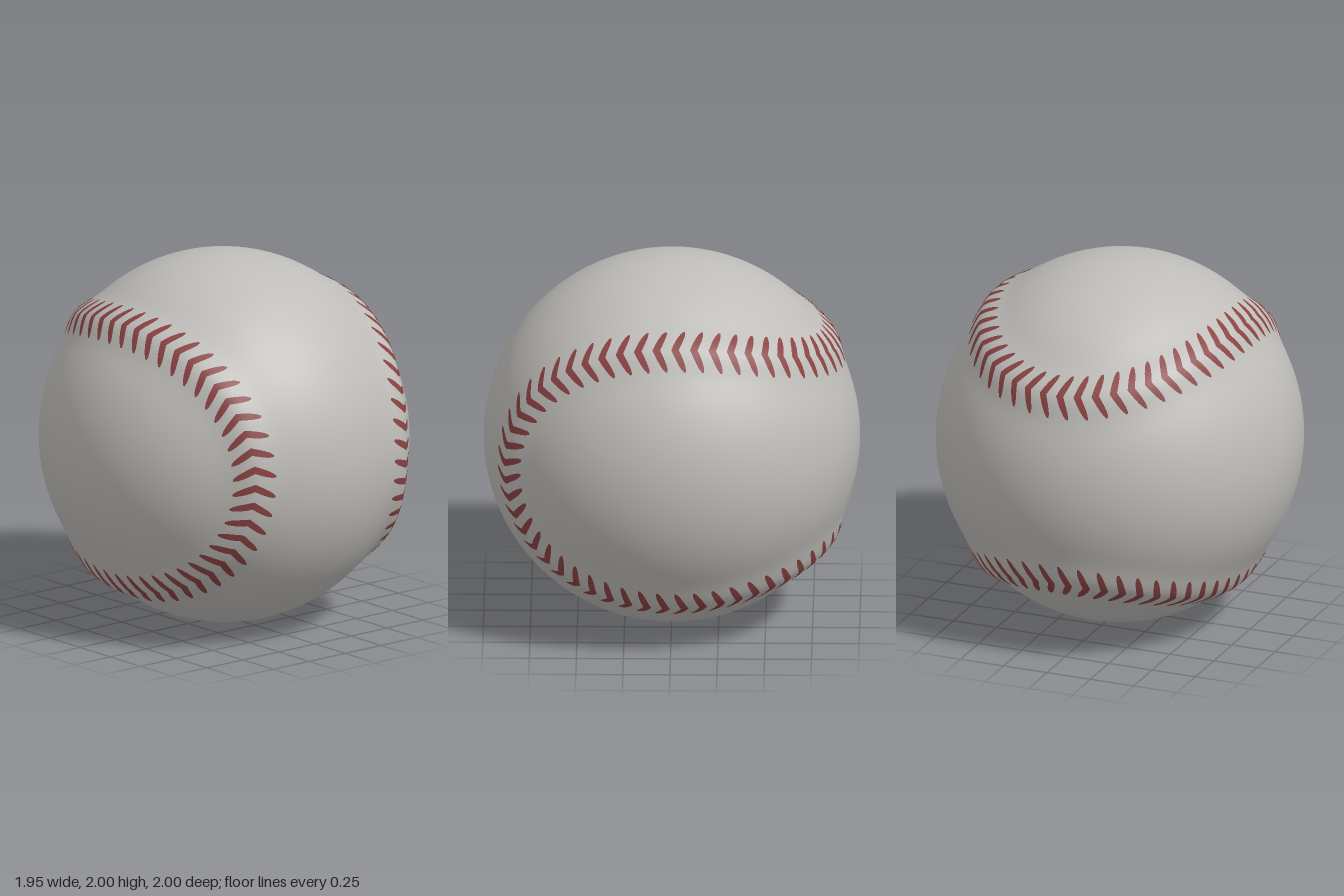
import * as THREE from 'three';
import { mergeVertices } from 'three/addons/utils/BufferGeometryUtils.js';

// Closed seam curve lying on the unit sphere
const A = 0.76, B = -0.24, C = 2 * Math.sqrt(-A * B);
class SeamCurve extends THREE.Curve {
  getPoint(u, target = new THREE.Vector3()) {
    const t = -u * Math.PI * 2;
    return target.set(
      A * Math.cos(t) + B * Math.cos(3 * t),
      A * Math.sin(t) - B * Math.sin(3 * t),
      C * Math.cos(2 * t));
  }
}

const seam = new SeamCurve();
seam.arcLengthDivisions = 800;
const seamSamples = seam.getSpacedPoints(500);

// Places a unit direction on the ball: slightly narrow in x, raised along the seam
function onBall(dir, lift = 0) {
  let d2 = 4;
  for (const p of seamSamples) d2 = Math.min(d2, p.distanceToSquared(dir));
  const r = 1 + 0.03 * Math.exp(-d2 / 0.0121) + lift;
  return new THREE.Vector3(dir.x * 0.975 * r, dir.y * r, dir.z * r);
}

function ballGeometry() {
  let geo = new THREE.IcosahedronGeometry(1, 48);
  geo.deleteAttribute('uv');
  geo.deleteAttribute('normal');
  geo = mergeVertices(geo, 1e-5);
  const pos = geo.attributes.position;
  const v = new THREE.Vector3();
  for (let i = 0; i < pos.count; i++) {
    const p = onBall(v.fromBufferAttribute(pos, i).normalize());
    pos.setXYZ(i, p.x, p.y, p.z);
  }
  geo.computeVertexNormals();
  return geo;
}

// Chevron stitches: narrow curved strips across the seam, hugging the surface
function stitchGeometry(count) {
  const half = 0.118, lead = 0.05, steps = 12;
  const positions = [], index = [];
  for (let s = 0; s < count; s++) {
    const u = (s + 0.5) / count;
    const centre = seam.getPointAt(u).normalize();
    const along = seam.getTangentAt(u);
    const across = new THREE.Vector3().crossVectors(centre, along).normalize();
    const start = positions.length / 3;
    for (let i = 0; i <= steps; i++) {
      const k = (i / steps) * 2 - 1;
      const width = 0.019 * Math.sqrt(1.08 - Math.pow(Math.abs(k), 3));
      for (const side of [-1, 1]) {
        const dir = centre.clone()
          .addScaledVector(across, k * half)
          .addScaledVector(along, lead * (0.5 - Math.abs(k)) + side * width)
          .normalize();
        positions.push(...onBall(dir, 0.004).toArray());
      }
      if (i < steps) {
        const a = start + i * 2;
        index.push(a, a + 1, a + 2, a + 1, a + 3, a + 2);
      }
    }
  }
  const geo = new THREE.BufferGeometry();
  geo.setAttribute('position', new THREE.Float32BufferAttribute(positions, 3));
  geo.setIndex(index);
  geo.computeVertexNormals();
  return geo;
}

export function createModel() {
  const leather = new THREE.MeshStandardMaterial({ color: 0xbfbdb9 });
  leather.name = 'leather';
  const thread = new THREE.MeshStandardMaterial({ color: 0x8a4243 });
  thread.name = 'redThread';
  thread.side = THREE.DoubleSide;

  const group = new THREE.Group();
  group.name = 'ball';
  const cover = new THREE.Mesh(ballGeometry(), leather);
  cover.name = 'cover';
  const stitches = new THREE.Mesh(stitchGeometry(104), thread);
  stitches.name = 'stitches';
  for (const mesh of [cover, stitches]) {
    mesh.position.y = 1;
    group.add(mesh);
  }
  return group;
}
